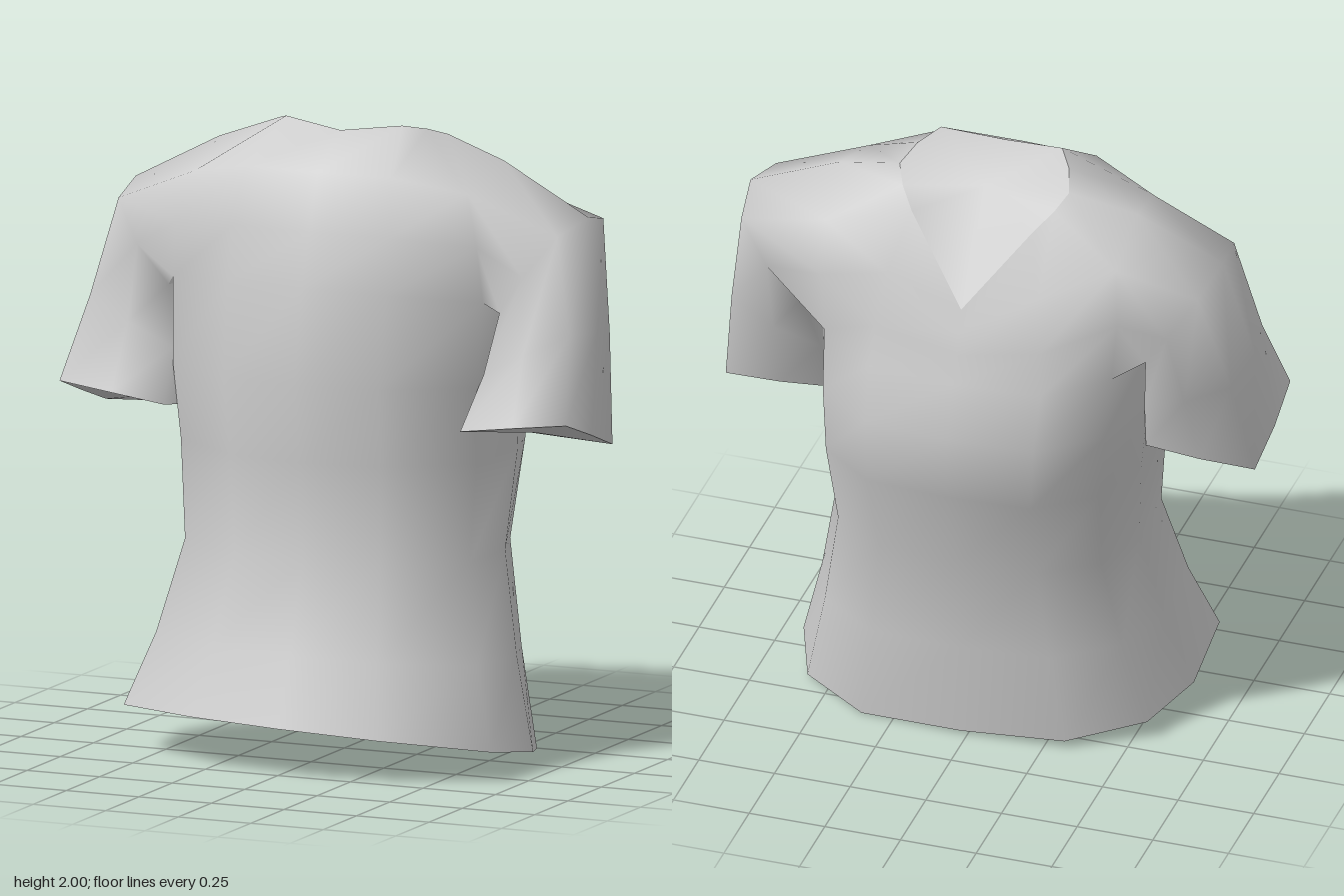
import * as THREE from 'three';

const material = new THREE.MeshStandardMaterial({ color: 0xcccccc, side: THREE.DoubleSide });
const COUNT = 12; // points in a torso ring

function build(points, index) {
  const geometry = new THREE.BufferGeometry();
  geometry.setAttribute('position', new THREE.Float32BufferAttribute(points.flat(), 3));
  geometry.setIndex(index);
  geometry.computeVertexNormals();
  return geometry;
}

// Joins two loops of point numbers with quads, leaving out the skipped ones
function bridge(index, lower, upper, skip = () => false) {
  const n = lower.length;
  for (let j = 0; j < n; j++) {
    const k = (j + 1) % n;
    if (!skip(j)) index.push(lower[j], lower[k], upper[k], lower[j], upper[k], upper[j]);
  }
}

// Fan that closes a ring
function cap(ring, reversed) {
  const n = ring.length, index = [];
  const centre = [0, 1, 2].map(k => ring.reduce((sum, p) => sum + p[k], 0) / n);
  for (let j = 0; j < n; j++) {
    const k = (j + 1) % n;
    index.push(n, reversed ? k : j, reversed ? j : k);
  }
  return build([...ring, centre], index);
}

const mirrored = ring => ring.map(([x, y, z]) => [-x, y, z]).reverse();

// Completes a half ring (+z centre, +x side, -z centre)
const fullRing = half => [...half, ...mirrored(half.slice(1, -1))];

// Torso section: fractions of half width and of depth, from +z to -z
const widths = [0, 0.5, 0.98, 1, 0.87, 0.52, 0];
const depths = [0, 0.05, 0.25, 0.58, 0.82, 0.98, 1];
function torsoRing([yf, yb, w, zf, zb, roll = 0, shift = 0]) {
  const half = widths.map((x, i) => [
    x * w, yf + (yb - yf) * depths[i], zf + (zb - zf) * depths[i]]);
  return fullRing(half).map(([x, y, z]) => [x + shift, y - roll * x, z]);
}

// Sleeve section between an outer and an inner point; low power makes it square
function sleeveRing([ox, oy, ix, iy, zf, zb, slant, power]) {
  const ring = [];
  const square = v => Math.abs(v) < 1e-6 ? 0 : Math.sign(v) * Math.pow(Math.abs(v), power);
  for (let j = 0; j < 8; j++) {
    const c = square(Math.cos(j * Math.PI / 4)), s = square(Math.sin(j * Math.PI / 4));
    ring.push([
      (ox + ix) / 2 + c * (ox - ix) / 2,
      (oy + iy) / 2 + c * (oy - iy) / 2 + s * slant * (1 + 0.4 * c),
      (zf + zb) / 2 + s * (zf - zb) / 2]);
  }
  return ring;
}

export function createModel() {
  const model = new THREE.Group();
  const add = (name, geometry) => {
    const mesh = new THREE.Mesh(geometry, material);
    mesh.name = name;
    model.add(mesh);
  };

  // Torso from tilted hem to chest: y at +z, y at -z, half width, z limits, roll, shift
  const torso = [
    [0.155, 0.008, 0.645, 0.545, -0.34, 0.04, 0.02],
    [0.37, 0.33, 0.565, 0.455, -0.365, 0.02, 0.02],
    [0.66, 0.66, 0.5, 0.36, -0.39, 0, 0.02],
    [0.97, 0.97, 0.52, 0.355, -0.51, 0, 0.01],
    [1.22, 1.2, 0.535, 0.375, -0.54],
    [1.52, 1.37, 0.545, 0.325, -0.48],
  ].map(torsoRing);
  const armpit = torso.length - 1, shoulder = armpit + 2;

  // Upper chest, shoulder yoke and neckline with its V notch
  torso.push(fullRing([
    [0, 1.69, 0.265], [0.27, 1.69, 0.255], [0.52, 1.66, 0.14], [0.54, 1.64, -0.09],
    [0.49, 1.59, -0.325], [0.27, 1.51, -0.44], [0, 1.46, -0.45]]));
  torso.push(fullRing([
    [0, 1.87, 0.2], [0.25, 1.87, 0.19], [0.47, 1.82, 0.1], [0.49, 1.89, -0.13],
    [0.48, 1.78, -0.305], [0.25, 1.68, -0.39], [0, 1.53, -0.425]]));
  const neck = fullRing([
    [0, 1.975, 0.03], [0.2, 2, 0], [0.25, 1.98, -0.08], [0.28, 1.95, -0.17],
    [0.25, 1.91, -0.23], [0.2, 1.86, -0.29], [0, 1.6, -0.4]]);
  torso.push(neck);

  // Torso skin, left open at both armholes
  const points = torso.flat(), index = [];
  const loop = (start, n) => Array.from({ length: n }, (_, j) => start + j);
  for (let i = 0; i < torso.length - 1; i++) {
    const inArmhole = j => i >= armpit && i < shoulder && [2, 3, 8, 9].includes(j);
    bridge(index, loop(i * COUNT, COUNT), loop((i + 1) * COUNT, COUNT), inArmhole);
  }

  // Sleeves continue the skin from the armholes to the cuffs, slightly unequal
  const leftRings = [
    [0.8, 1.74, 0.545, 1.41, 0.13, -0.31, 0, 0.7],
    [0.86, 1.39, 0.51, 1.23, 0.155, -0.21, 0.02, 0.5],
    [0.885, 1.08, 0.505, 1.065, 0.255, -0.11, 0.045, 0.12],
  ].map(sleeveRing);
  const rightRings = [
    [0.765, 1.745, 0.545, 1.41, 0.13, -0.33, 0, 0.7],
    [0.85, 1.39, 0.51, 1.23, 0.145, -0.225, 0.02, 0.5],
    [0.885, 1.08, 0.51, 1.065, 0.235, -0.13, 0.045, 0.12],
  ].map(sleeveRing).map(mirrored);
  const armhole = [[2, 3], [2, 2], [1, 2], [0, 2], [0, 3], [0, 4], [1, 4], [2, 4]];
  for (const left of [true, false]) {
    let previous = armhole.map(([row, col]) =>
      (armpit + row) * COUNT + (left ? col : COUNT - col));
    if (!left) previous.reverse();
    const rings = left ? leftRings : rightRings;
    for (const ring of rings) {
      const next = loop(points.length, ring.length);
      points.push(...ring);
      bridge(index, previous, next);
      previous = next;
    }
    add(left ? 'leftCuffOpening' : 'rightCuffOpening', cap(rings[rings.length - 1], false));
  }

  add('shirtBody', build(points, index));
  add('hemOpening', cap(torso[0], true));
  add('neckOpening', cap(neck, false));
  return model;
}
